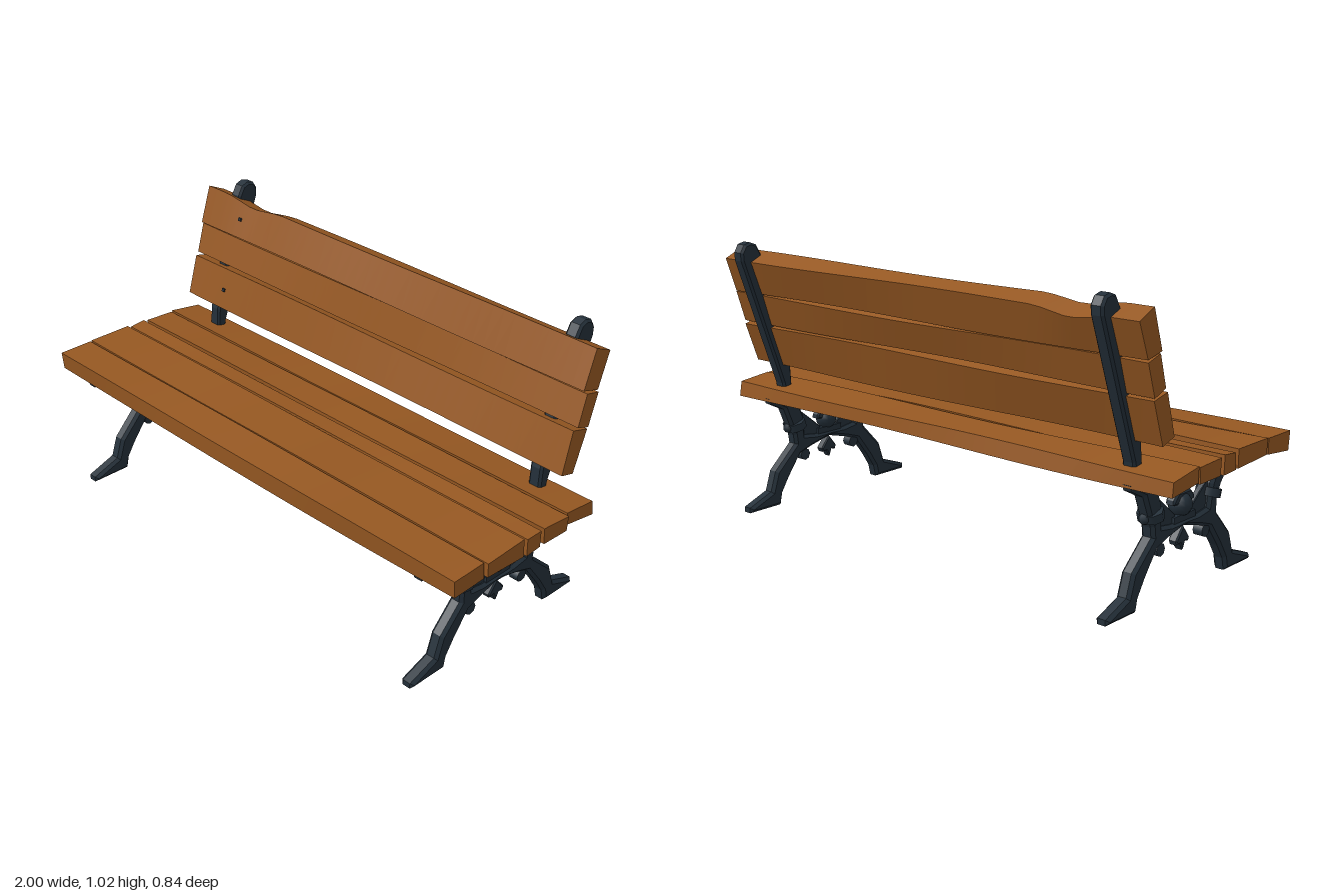
import * as THREE from 'three';
import { toCreasedNormals } from 'three/addons/utils/BufferGeometryUtils.js';

const wood = new THREE.MeshStandardMaterial({ color: 0x965822 });
wood.name = 'brown wood';
const iron = new THREE.MeshStandardMaterial({ color: 0x24303a });
iron.name = 'dark iron';

function add(parent, name, geometry, material) {
  const mesh = new THREE.Mesh(geometry, material);
  mesh.name = name;
  parent.add(mesh);
  return mesh;
}

// Side outline given as [z, y] points, extruded along x and centred on x = 0
function sidePlate(points, width, bevel = 0.008) {
  const shape = new THREE.Shape(points.map(([z, y]) => new THREE.Vector2(z, y)));
  const geo = new THREE.ExtrudeGeometry(shape, {
    depth: width - 2 * bevel, bevelEnabled: bevel > 0, bevelSegments: 1,
    bevelSize: bevel, bevelThickness: bevel, bevelOffset: -bevel,
  });
  geo.translate(0, 0, -(width - 2 * bevel) / 2);
  geo.rotateY(-Math.PI / 2);
  return geo;
}

// Hand-hewn board: a box bent onto the section [topFront, topBack, bottomBack, bottomFront]
function plank([tf, tb, bb, bf], x0, x1, seed, sag = 0, notch = 0) {
  const geo = new THREE.BoxGeometry(1, 1, 1, 40, 1, 1);
  const p = geo.attributes.position;
  for (let i = 0; i < p.count; i++) {
    const u = p.getX(i) + 0.5, s = p.getY(i) + 0.5, t = p.getZ(i) + 0.5;
    const mix = (k) => (bb[k] * (1 - t) + bf[k] * t) * (1 - s) + (tb[k] * (1 - t) + tf[k] * t) * s;
    const x = x0 + (x1 - x0) * u;
    const wave = 0.003 * Math.sin(x * 4 + seed + s * 2 + t * 3);
    const dip = notch * s * Math.max(0, 1 - Math.abs(x + 0.68) / 0.14);
    const belly = sag * (1 - s) * Math.cos(x * Math.PI / 2);
    p.setXYZ(i, x, mix(1) + wave - dip - belly, mix(0) + wave * 0.6);
  }
  return toCreasedNormals(geo, 0.6);
}

// Cast-iron X frame outline
const frameOutline = [
  [0.39, 0.43], [0.385, 0.405], [0.32, 0.4], [0.27, 0.375], [0.22, 0.315], [0.2, 0.27], [0.2, 0.225],
  [0.285, 0.135], [0.31, 0.06], [0.42, 0.02], [0.42, 0], [0.265, 0], [0.255, 0.045], [0.22, 0.1],
  [0.16, 0.18], [0.1, 0.2], [0.015, 0.222], [-0.08, 0.2], [-0.14, 0.18], [-0.2, 0.1], [-0.235, 0.045],
  [-0.245, 0], [-0.395, 0], [-0.395, 0.02], [-0.29, 0.06], [-0.265, 0.135], [-0.165, 0.225],
  [-0.17, 0.26], [-0.19, 0.31], [-0.215, 0.37], [-0.275, 0.4], [-0.28, 0.42], [-0.15, 0.43],
  [-0.15, 0.4], [-0.12, 0.33], [-0.115, 0.25], [-0.06, 0.242], [0.09, 0.242], [0.145, 0.25],
  [0.16, 0.33], [0.19, 0.38], [0.23, 0.42], [0.25, 0.43],
];
const postOutline = [
  [-0.195, 0.45], [-0.2, 0.54], [-0.325, 0.98], [-0.345, 1.015], [-0.372, 1.025], [-0.4, 1.018],
  [-0.417, 0.99], [-0.415, 0.96], [-0.24, 0.48], [-0.235, 0.45],
];

function ironEnd(side) {
  const end = new THREE.Group();
  end.name = side > 0 ? 'leftIronEnd' : 'rightIronEnd';
  const frame = new THREE.Group();
  frame.name = 'legFrame';
  frame.position.x = side * 0.833;
  end.add(frame);
  add(frame, 'crossedLegs', sidePlate(frameOutline, 0.052, 0.011), iron);
  add(end, 'backPost', sidePlate(postOutline, 0.05), iron).position.x = side * 0.807;

  // Ornaments on the crossbar
  add(frame, 'crown', sidePlate([[0.075, 0.3], [0.072, 0.315], [0.05, 0.337], [-0.02, 0.337],
    [-0.042, 0.315], [-0.045, 0.3], [-0.02, 0.295], [0.05, 0.295]], 0.036, 0.006), iron);
  const boss = add(frame, 'boss', new THREE.SphereGeometry(0.041, 12, 8), iron);
  boss.position.set(0, 0.291, 0.015);
  const neck = add(frame, 'bossBase', new THREE.BoxGeometry(0.04, 0.022, 0.12), iron);
  neck.position.set(0, 0.25, 0.015);
  add(frame, 'pendant', sidePlate([[0.015, 0.222], [0.052, 0.175], [0.045, 0.16], [0.028, 0.165],
    [0.015, 0.137], [0, 0.162], [-0.018, 0.16], [-0.024, 0.175]], 0.034, 0.005), iron);

  for (const s of [1, -1]) {
    const z = (d) => 0.015 + s * d;
    const label = s > 0 ? 'front' : 'back';
    // Web between the crossbar and the upper arm
    const web = [[z(0.145), 0.35], [z(0.13), 0.232], [z(0.03), 0.242], [z(0.045), 0.27], [z(0.1), 0.315]];
    add(frame, label + 'Web', sidePlate(web, 0.022, 0.003), iron);
    // Collar round the arm, tilted with it
    const collar = add(frame, label + 'Collar', new THREE.CylinderGeometry(0.046, 0.046, 0.03, 8), iron);
    collar.scale.z = 0.9;
    collar.position.set(0, 0.295, z(0.163));
    collar.rotation.x = s * 0.3;
    const knob = add(frame, label + 'Knob', new THREE.SphereGeometry(0.018, 7, 5), iron);
    knob.position.set(0, 0.288, z(0.199));
    // Small scroll under the knee
    const scroll = add(frame, label + 'Scroll', new THREE.CylinderGeometry(0.023, 0.023, 0.036, 8), iron);
    scroll.rotation.z = Math.PI / 2;
    scroll.position.set(0, 0.172, z(0.128));
  }
  return end;
}

export function createModel() {
  const bench = new THREE.Group();
  bench.name = 'bench';
  bench.add(ironEnd(1), ironEnd(-1));

  // Seat boards, front to back
  const seat = new THREE.Group();
  seat.name = 'seat';
  bench.add(seat);
  [
    [[[0.397, 0.484], [0.266, 0.49], [0.263, 0.43], [0.393, 0.422]], -1, 0.99, 0.012],
    [[[0.258, 0.488], [0.085, 0.49], [0.085, 0.427], [0.254, 0.432]], -1, 1, 0],
    [[[0.07, 0.484], [0.003, 0.484], [0.003, 0.422], [0.07, 0.422]], -1, 1, 0],
    [[[-0.013, 0.482], [-0.134, 0.476], [-0.131, 0.419], [-0.015, 0.426]], -1, 1, 0],
    [[[-0.14, 0.478], [-0.272, 0.463], [-0.28, 0.411], [-0.14, 0.43]], -1, 0.99, 0],
  ].forEach(([section, x0, x1, sag], i) => add(seat, 'seatPlank', plank(section, x0, x1, i * 1.7, sag), wood));

  // Backrest boards, top to bottom
  const back = new THREE.Group();
  back.name = 'backrest';
  bench.add(back);
  [
    [[[-0.305, 0.984], [-0.375, 0.956], [-0.33, 0.83], [-0.257, 0.85]], -0.935, 0.925, 0.022],
    [[[-0.265, 0.843], [-0.328, 0.822], [-0.288, 0.712], [-0.235, 0.728]], -0.935, 0.932, 0],
    [[[-0.222, 0.72], [-0.294, 0.7], [-0.242, 0.55], [-0.18, 0.572]], -0.935, 0.925, 0],
  ].forEach(([section, x0, x1, notch], i) => add(back, 'backPlank', plank(section, x0, x1, i * 2.1, 0, notch), wood));

  // Small nail heads
  for (const [x, y, z] of [[-0.73, 0.915, -0.279], [-0.745, 0.64, -0.198]]) {
    const nail = add(back, 'nailHead', new THREE.BoxGeometry(0.012, 0.012, 0.009), iron);
    nail.position.set(x, y, z);
    nail.rotation.x = -0.32;
  }
  return bench;
}
